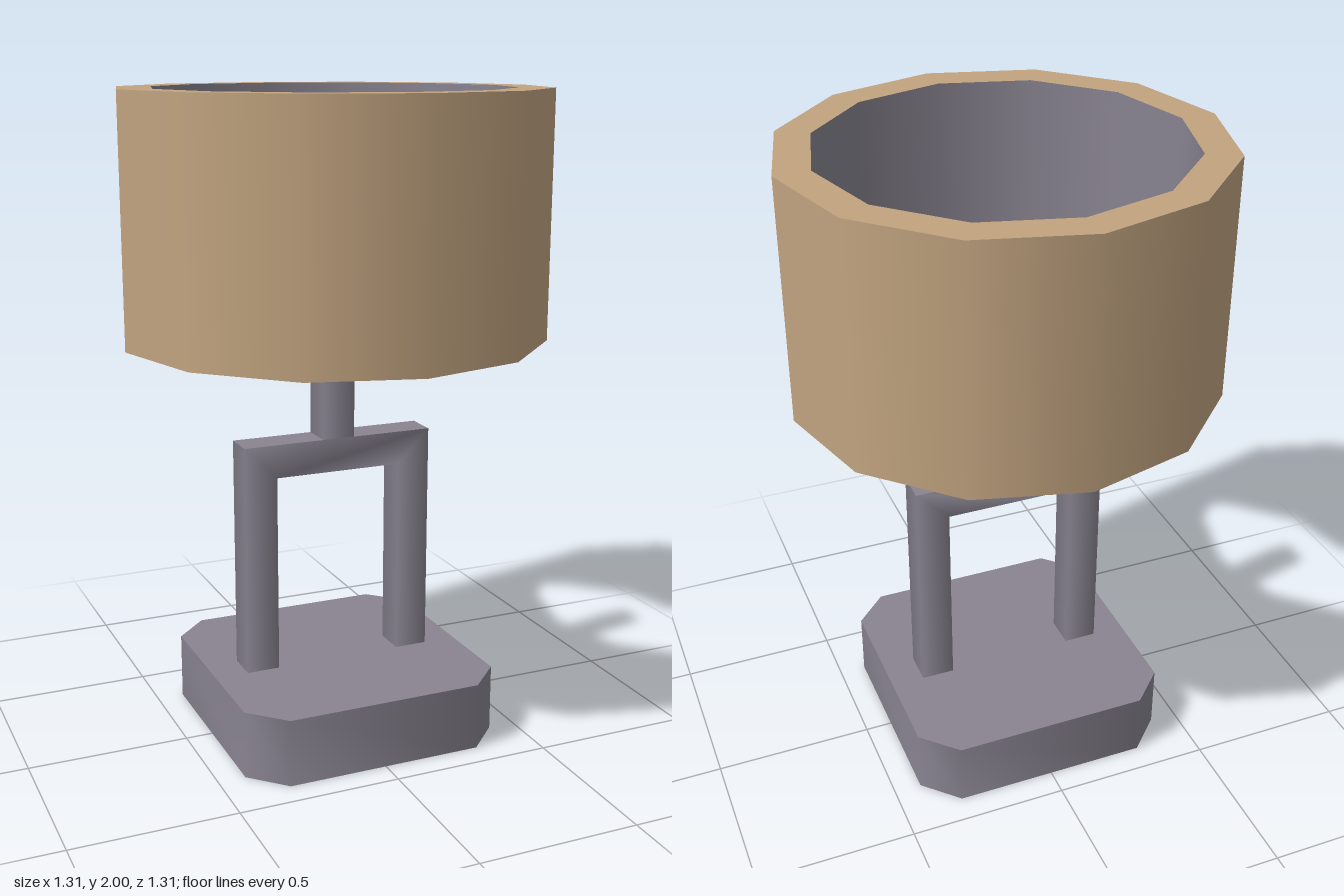
import * as THREE from 'three';
import { toCreasedNormals } from 'three/addons/utils/BufferGeometryUtils.js';

const shape = (pts) => new THREE.Shape(pts.map(([x, y]) => new THREE.Vector2(x, y)));

export function createModel() {
  const group = new THREE.Group();
  const tan = new THREE.MeshStandardMaterial({ name: 'tanShade', color: 0xc2a480 });
  const grey = new THREE.MeshStandardMaterial({ name: 'greyMetal', color: 0x898491 });

  function add(name, geometry, material, parent = group) {
    const mesh = new THREE.Mesh(geometry, material);
    mesh.name = name;
    parent.add(mesh);
    return mesh;
  }

  // Base: square slab with cut corners, softly shaded around the sides
  const b = 0.415, c = 0.31, baseTop = 0.21;
  const baseShape = shape([[b, -c], [b, c], [c, b], [-c, b], [-b, c], [-b, -c], [-c, -b], [c, -b]]);
  const base = new THREE.ExtrudeGeometry(baseShape, { depth: baseTop, bevelEnabled: false });
  base.rotateX(-Math.PI / 2);
  add('base', toCreasedNormals(base, Math.PI / 3), grey);

  // Frame: two legs joined by a crossbar
  const out = 0.31, inn = 0.205, barTop = 0.94, barLow = 0.835, t = 0.052;
  const frameShape = shape([
    [-out, baseTop], [-inn, baseTop], [-inn, barLow], [inn, barLow],
    [inn, baseTop], [out, baseTop], [out, barTop], [-out, barTop],
  ]);
  const frame = new THREE.ExtrudeGeometry(frameShape, { depth: 2 * t, bevelEnabled: false });
  frame.translate(0, 0, -t);
  // Round the shading of the upright faces about each leg's axis
  const pos = frame.attributes.position, nor = frame.attributes.normal;
  for (let i = 0; i < pos.count; i++) {
    if (Math.abs(nor.getY(i)) > 0.5) continue;
    const x = pos.getX(i);
    const away = Math.abs(x) > (out + inn) / 2 ? 1 : -1;
    nor.setXYZ(i, away * Math.sign(x) * Math.SQRT1_2, 0, Math.sign(pos.getZ(i)) * Math.SQRT1_2);
  }
  add('frame', frame, grey);

  // Stem: square post rising into the shade
  const stemTop = 1.63, stemHeight = stemTop - barTop;
  const r = t * Math.SQRT2;
  const stem = new THREE.CylinderGeometry(r, r, stemHeight, 4, 1, false, Math.PI / 4);
  add('stem', stem, grey).position.y = barTop + stemHeight / 2;

  // Shade: twelve-sided open drum with thick walls and a grey lining
  const shade = new THREE.Group();
  shade.name = 'shade';
  group.add(shade);
  const R = 0.653, r2 = 0.547, low = 1.255, top = 2;
  const walls = [
    ['shadeOuter', [R, low], [R, top], tan],
    ['shadeTopRim', [R, top], [r2, top], tan],
    ['shadeLining', [r2, top], [r2, low], grey],
    ['shadeBottomRim', [r2, low], [R, low], tan],
  ];
  for (const [name, from, to, material] of walls) {
    const profile = [new THREE.Vector2(...from), new THREE.Vector2(...to)];
    add(name, new THREE.LatheGeometry(profile, 12), material, shade);
  }

  return group;
}
